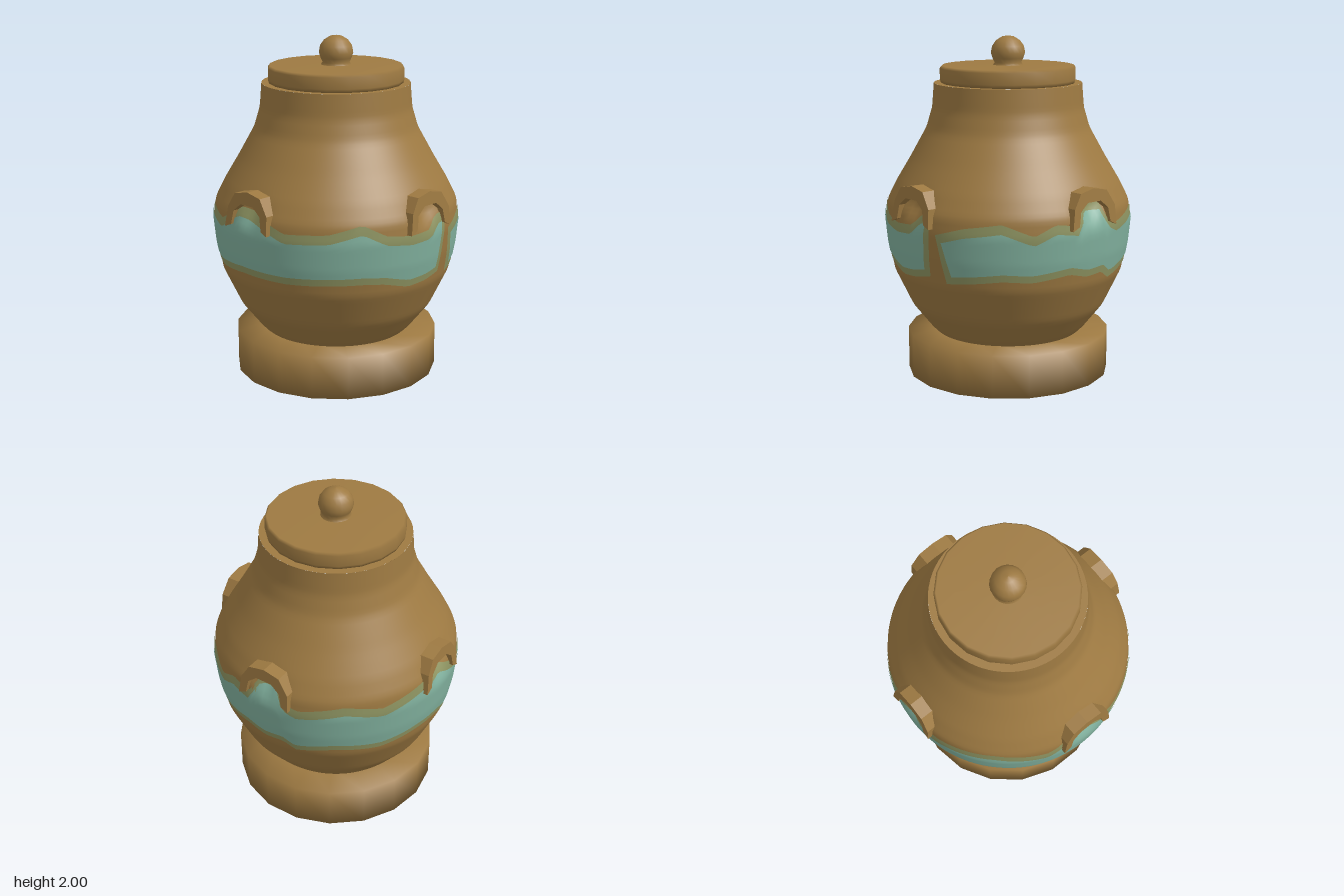
import * as THREE from 'three';
import { mergeVertices } from 'three/addons/utils/BufferGeometryUtils.js';

const clay = new THREE.MeshStandardMaterial({ color: 0x9e7a42 });
clay.name = 'brownClay';
const glaze = new THREE.MeshStandardMaterial({ color: 0x82b29f });
glaze.name = 'tealGlaze';
const trim = new THREE.MeshStandardMaterial({ color: 0x8f9562 });
trim.name = 'oliveTrim';

const DEG = Math.PI / 180;

// Piecewise linear lookup in [key, value] pairs
function lookup(table, k) {
  if (k <= table[0][0]) return table[0][1];
  for (let i = 1; i < table.length; i++) {
    const [a, va] = table[i - 1], [b, vb] = table[i];
    if (k <= b) return va + (vb - va) * (k - a) / (b - a);
  }
  return table[table.length - 1][1];
}

// Body outline as [height, radius]
const PROFILE = [[0.25, 0.42], [0.285, 0.46], [0.43, 0.575], [0.64, 0.675], [0.8, 0.705], [0.95, 0.72],
  [1.05, 0.71], [1.16, 0.655], [1.3, 0.572], [1.47, 0.478], [1.59, 0.443], [1.73, 0.432]];

// Upper and lower band edges as [angle from the front, height]
const UPPER = [[15, 0.9], [29, 0.95], [46, 0.98], [60, 0.91], [70, 0.97], [81, 0.95], [86, 1.07], [96, 1.07],
  [99, 0.97], [106, 0.93], [128, 0.98], [145, 0.94], [165, 1.0], [180, 1.02], [195, 0.95], [225, 1.0],
  [250, 0.95], [263, 1.05], [277, 1.02], [290, 0.95], [310, 0.96], [325, 1.01], [336, 0.94], [349, 0.92],
  [360, 0.93], [366, 1.0], [372, 1.01]];
const LOWER = [[15, 0.71], [32, 0.73], [46, 0.75], [60, 0.74], [78, 0.77], [88, 0.74], [98, 0.75], [104, 0.7],
  [123, 0.74], [145, 0.72], [165, 0.75], [180, 0.75], [191, 0.7], [210, 0.76], [225, 0.77], [243, 0.74],
  [265, 0.76], [290, 0.75], [325, 0.76], [336, 0.75], [349, 0.71], [360, 0.72], [372, 0.75]];

// Body radius, with a shallow hollow behind each lug
function radius(deg, y) {
  const d = ((deg + 45) % 90 + 90) % 90 - 45;
  const u = d * DEG * 0.7 / 0.075, v = (y - 1.07) / 0.06;
  return lookup(PROFILE, y) - 0.04 * Math.exp(-u * u - v * v);
}

// Patch of the body surface; at(s, t) gives [angle, height]
function patch(cols, rows, offset, at) {
  const pos = [], index = [];
  for (let j = 0; j <= rows; j++) {
    for (let i = 0; i <= cols; i++) {
      const [deg, y] = at(i / cols, j / rows);
      const r = radius(deg, y) + offset;
      pos.push(r * Math.sin(deg * DEG), y, r * Math.cos(deg * DEG));
      if (i < cols && j < rows) {
        const a = j * (cols + 1) + i, b = a + 1, c = a + cols + 1, d = c + 1;
        index.push(a, b, d, a, d, c);
      }
    }
  }
  const g = new THREE.BufferGeometry();
  g.setAttribute('position', new THREE.Float32BufferAttribute(pos, 3));
  g.setIndex(index);
  const merged = mergeVertices(g, 1e-4);
  merged.computeVertexNormals();
  return merged;
}

// Wavy band, open at the front left with slanted ends
function band(offset, start, end, below, above) {
  return patch(140, 10, offset, (s, t) => {
    const from = start + 4 * (1 - t), to = end - 2 * (1 - t);
    const deg = from + (to - from) * s;
    const lo = lookup(LOWER, deg) - below, hi = lookup(UPPER, deg) + above;
    return [deg, lo + (hi - lo) * t];
  });
}

function lathe(points, sides) {
  return new THREE.LatheGeometry(points.map(([r, y]) => new THREE.Vector2(r, y)), sides);
}

// Arched lug outline with an open underside
function lugGeometry() {
  const shape = new THREE.Shape([[-0.17, 0.98], [-0.12, 1.0], [-0.105, 1.08], [-0.05, 1.125], [0.05, 1.125],
    [0.105, 1.08], [0.12, 1.0], [0.165, 0.98], [0.16, 1.09], [0.1, 1.18], [0, 1.2], [-0.1, 1.18], [-0.15, 1.1]]
    .map(([x, y]) => new THREE.Vector2(x, y)));
  const g = new THREE.ExtrudeGeometry(shape, { depth: 0.09, bevelEnabled: false });
  // Lean the upper part back toward the body
  const p = g.attributes.position;
  for (let i = 0; i < p.count; i++) p.setZ(i, p.getZ(i) + 0.64 - (p.getY(i) - 0.98) * 0.08);
  g.computeVertexNormals();
  return g;
}

export function createModel() {
  const model = new THREE.Group();
  model.name = 'liddedJar';
  const add = (name, geometry, material) => {
    const mesh = new THREE.Mesh(geometry, material);
    mesh.name = name;
    model.add(mesh);
    return mesh;
  };

  // Round foot
  add('base', lathe([[0, 0], [0.6, 0.005], [0.6, 0.255], [0.4, 0.262], [0, 0.262]], 18), clay);

  // Body and its closed mouth
  add('body', patch(96, 60, 0, (s, t) => [s * 360, 0.25 + 1.48 * t]), clay);
  const mouth = add('mouth', new THREE.CircleGeometry(0.432, 48), clay);
  mouth.rotation.x = -Math.PI / 2;
  mouth.position.y = 1.73;

  // Painted band with its softer border
  add('bandBorder', band(0.004, 15, 372, 0.042, 0.052), trim);
  add('band', band(0.008, 18, 369, 0, 0), glaze);

  // Four lugs
  const lug = lugGeometry();
  ['front', 'left', 'back', 'right'].forEach((side, i) => {
    add(side + 'Lug', lug, clay).rotation.y = i * Math.PI / 2;
  });

  // Lid and knob
  add('lid', lathe([[0, 1.73], [0.39, 1.73], [0.397, 1.75], [0.397, 1.815], [0.385, 1.83], [0, 1.832]], 20), clay);
  add('knob', lathe([[0.09, 1.828], [0.078, 1.845], [0.09, 1.87], [0.1, 1.9], [0.093, 1.94], [0.07, 1.972],
    [0.035, 1.994], [0, 2]], 20), clay);
  return model;
}
